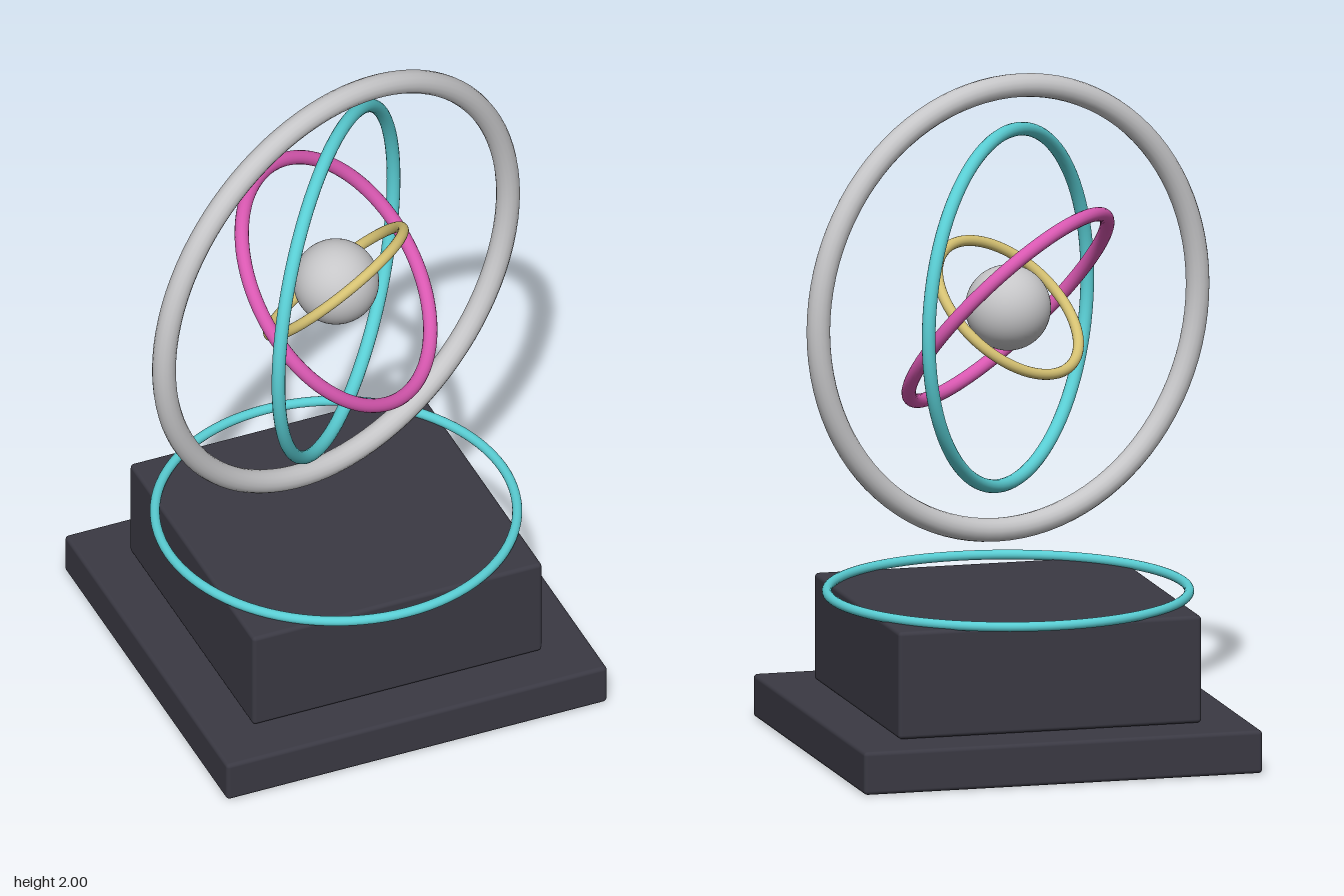
import * as THREE from 'three';
import { RoundedBoxGeometry } from 'three/addons/geometries/RoundedBoxGeometry.js';

export function createModel() {
  const model = new THREE.Group();
  model.name = 'gyroscopeSculpture';

  const material = (name, color) => {
    const m = new THREE.MeshStandardMaterial({ color });
    m.name = name;
    return m;
  };
  const charcoal = material('charcoal', 0x3a3943);
  const silver = material('silver', 0xc6c6c8);
  const cyan = material('cyan', 0x59cdd3);
  const magenta = material('magenta', 0xd958b1);
  const gold = material('gold', 0xd5c172);

  const CENTER_Y = 1.305;

  const add = (name, geometry, mat, y) => {
    const mesh = new THREE.Mesh(geometry, mat);
    mesh.name = name;
    mesh.position.y = y;
    model.add(mesh);
    return mesh;
  };

  // A ring whose axis points along the given normal
  const addRing = (name, radius, tube, mat, y, normal) => {
    const ring = add(name, new THREE.TorusGeometry(radius, tube, 16, 96), mat, y);
    ring.quaternion.setFromUnitVectors(
      new THREE.Vector3(0, 0, 1), new THREE.Vector3(...normal).normalize());
  };

  // Stepped square pedestal
  const addSlab = (name, width, bottom, top) => add(name,
    new RoundedBoxGeometry(width, top - bottom, width, 3, 0.012), charcoal, (bottom + top) / 2);
  addSlab('plinth', 1.21, 0, 0.128);
  addSlab('pedestalBlock', 0.92, 0.13, 0.45);

  // Flat ring resting on the pedestal
  addRing('pedestalRing', 0.53, 0.0145, cyan, 0.46, [0, 1, 0]);

  // Nested floating rings around the core
  addRing('outerRing', 0.66, 0.035, silver, CENTER_Y, [Math.sin(0.3), 0, Math.cos(0.3)]);
  addRing('secondRing', 0.525, 0.02, cyan, CENTER_Y, [Math.sin(0.84), 0, Math.cos(0.84)]);
  addRing('thirdRing', 0.39, 0.021, magenta, CENTER_Y, [0.55, 0.66, 0.52]);
  addRing('innerRing', 0.25, 0.016, gold, CENTER_Y, [-0.436, 0.718, -0.545]);

  // Core
  add('coreSphere', new THREE.SphereGeometry(0.126, 48, 32), silver, CENTER_Y);

  return model;
}
